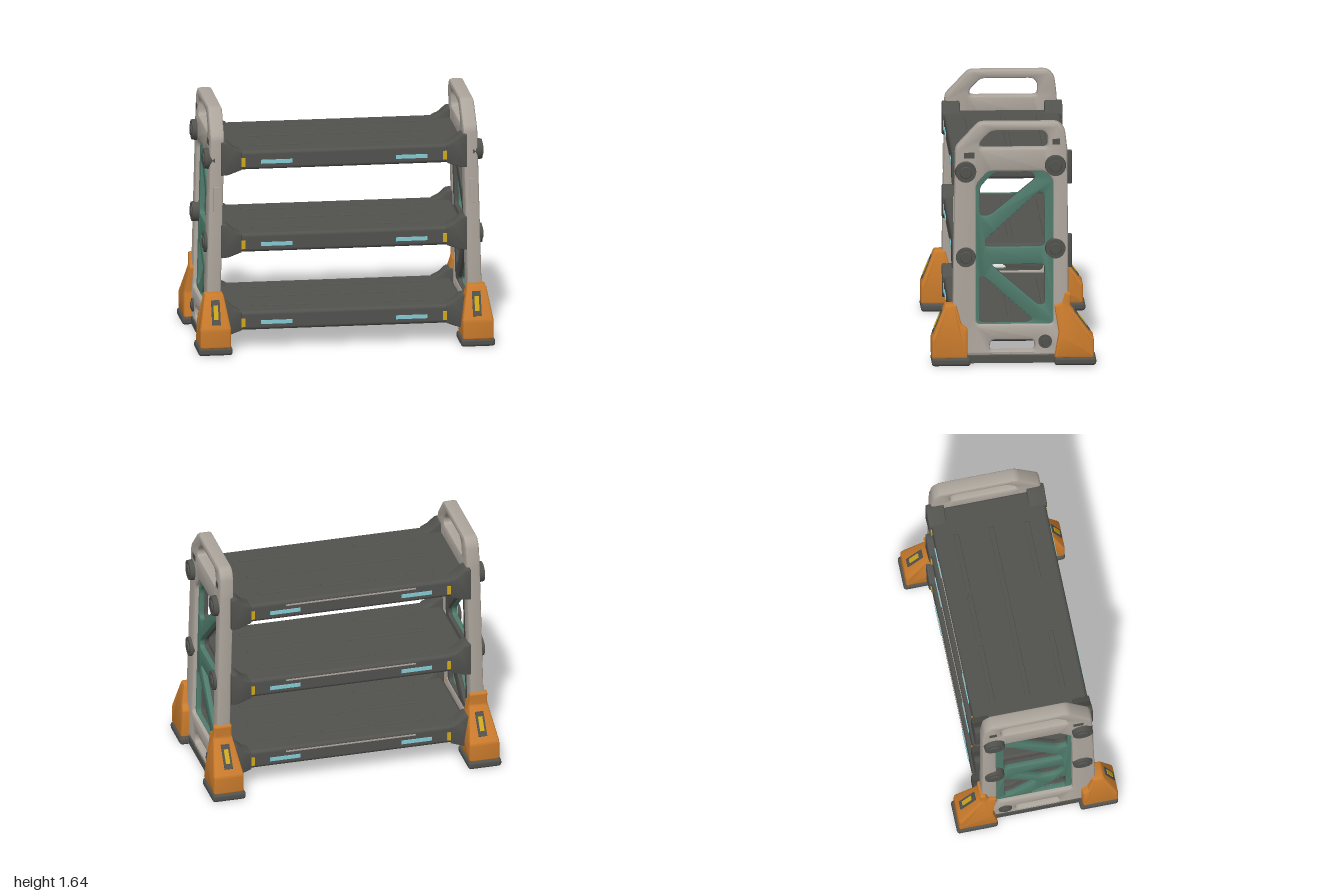
import * as THREE from 'three';
import { toCreasedNormals } from 'three/addons/utils/BufferGeometryUtils.js';
import { RoundedBoxGeometry } from 'three/addons/geometries/RoundedBoxGeometry.js';

const paint = (name, color) => {
  const m = new THREE.MeshStandardMaterial({ color });
  m.name = name;
  return m;
};

// Polygon with softened corners, drawn into a Shape or Path
function roundPoly(path, pts, r) {
  const v = pts.map(p => new THREE.Vector2(...p));
  v.forEach((p, i) => {
    const toward = q => p.clone().add(q.clone().sub(p).setLength(Math.min(r, p.distanceTo(q) * 0.4)));
    const a = toward(v[(i + v.length - 1) % v.length]);
    const b = toward(v[(i + 1) % v.length]);
    if (i) path.lineTo(a.x, a.y); else path.moveTo(a.x, a.y);
    path.quadraticCurveTo(p.x, p.y, b.x, b.y);
  });
  path.closePath();
  return path;
}

function extrude(pts, holes, depth, bevel, r) {
  const shape = roundPoly(new THREE.Shape(), pts, r);
  holes.forEach(h => shape.holes.push(roundPoly(new THREE.Path(), h, r)));
  const g = new THREE.ExtrudeGeometry(shape, {
    depth: depth - 2 * bevel, bevelEnabled: true, bevelSize: bevel, bevelThickness: bevel,
    bevelOffset: -bevel, bevelSegments: 2, curveSegments: 4,
  });
  return g.translate(0, 0, bevel);
}

// Profile in (z, y), extruded from x0 to x1
function sideExtrude(pts, holes, x0, x1, bevel, r) {
  return extrude(pts, holes, x1 - x0, bevel, r).rotateY(-Math.PI / 2).translate(x1, 0, 0);
}

function moveX(g, rule) {
  const p = g.attributes.position;
  for (let i = 0; i < p.count; i++) p.setX(i, rule(p.getX(i), p.getY(i)));
  return g;
}

// Posts spread slightly outwards towards the ground
const lean = g => moveX(g, (x, y) => x + (1.64 - y) * 0.025);
const smooth = g => toCreasedNormals(g, 0.6);

// Mirror across x = 0 and restore the face order
function mirrorX(geo) {
  const g = geo.index ? geo.toNonIndexed() : geo.clone();
  g.scale(-1, 1, 1);
  for (const a of Object.values(g.attributes)) {
    const n = a.itemSize;
    for (let i = 0; i < a.count; i += 3) {
      for (let k = 0; k < n; k++) {
        const s = (i + 1) * n + k, t = (i + 2) * n + k;
        [a.array[s], a.array[t]] = [a.array[t], a.array[s]];
      }
    }
  }
  return g;
}

export function createModel() {
  const root = new THREE.Group();
  root.name = 'shelfRack';
  const light = paint('warm grey', 0xaca59c), dark = paint('charcoal', 0x51514e);
  const orange = paint('orange', 0xca7b2c), teal = paint('teal', 0x4f7b6c);
  const cyan = paint('pale cyan', 0x84cad3), yellow = paint('yellow', 0xd0a81c);

  const add = (name, g, mat, parent) => {
    const m = new THREE.Mesh(g, mat);
    m.name = name;
    parent.add(m);
  };
  const box = (w, h, d, x, y, z) => new THREE.BoxGeometry(w, h, d).translate(x, y, z);
  const rbox = (w, h, d, r, x, y, z) => new RoundedBoxGeometry(w, h, d, 2, r).translate(x, y, z);

  // Shelves
  const grooves = [[-0.405, -0.23, 0.41], [0, -0.23, 0.33], [0.395, -0.23, 0.42],
    [0, 0.01, 1.22], [-0.4, 0.25, 0.42], [0.39, 0.25, 0.42]];
  const bracketProfile = [[0.69, 0.062], [0.74, 0.085], [0.79, 0.13], [0.83, 0.13],
    [0.83, -0.1], [0.78, -0.095], [0.69, -0.062]];
  for (const y of [0.195, 0.735, 1.305]) {
    const shelf = new THREE.Group();
    shelf.name = 'shelf';
    root.add(shelf);
    add('shelfBoard', rbox(1.64, 0.13, 0.78, 0.025, 0, y, 0.01), dark, shelf);
    for (const [x, z, w] of grooves) {
      for (const s of [1, -1]) add('shelfRib', rbox(w, 0.012, 0.035, 0.005, x, y + s * 0.065, z), dark, shelf);
    }
    for (const z of [0.402, -0.382]) {
      for (const s of [1, -1]) {
        add('cyanStrip', box(0.21, 0.026, 0.008, s * 0.455, y - 0.01, z), cyan, shelf);
        add('yellowMarker', box(0.028, 0.06, 0.008, s * 0.68, y - 0.01, z), yellow, shelf);
      }
    }
    add('rearEdgeStripe', box(0.9, 0.01, 0.006, 0, y + 0.035, -0.381), light, shelf);
    // Corner brackets
    for (const z of [0.29, -0.395]) {
      const g = smooth(extrude(bracketProfile, [], 0.12, 0.01, 0.01).translate(0, y, z));
      add('shelfBracket', g, dark, shelf);
      add('shelfBracket', mirrorX(g), dark, shelf);
    }
  }

  // Side frame outline with handle, main opening and lower slot
  const frameOutline = [[0.41, 0.06], [0.405, 0.6], [0.39, 1.47], [0.23, 1.64], [-0.3, 1.64],
    [-0.345, 1.59], [-0.36, 1.46], [-0.37, 0.06]];
  const handleHole = [[0.225, 1.465], [0.225, 1.51], [0.15, 1.585], [-0.2, 1.585], [-0.23, 1.55], [-0.23, 1.465]];
  const mainHole = [[0.25, 0.27], [0.25, 1.22], [0.17, 1.31], [-0.21, 1.31], [-0.265, 1.25], [-0.265, 0.27]];
  const slotHole = [[0.165, 0.09], [0.155, 0.165], [-0.14, 0.165], [-0.14, 0.09]];

  // Lattice openings: upper pair shared, lower set differs per side
  const latticeOutline = [[0.28, 0.24], [0.28, 1.25], [0.2, 1.34], [-0.24, 1.34], [-0.29, 1.27], [-0.29, 0.24]];
  const upperHoles = [
    [[0.225, 1], [0.16, 1], [-0.15, 1.25], [-0.13, 1.3], [0.13, 1.3], [0.225, 1.2]],
    [[0.19, 0.84], [0.15, 0.88], [-0.17, 1.17], [-0.21, 1.15], [-0.21, 0.79], [0.19, 0.79]],
  ];
  const lowerHoles = {
    1: [
      [[0.16, 0.675], [-0.21, 0.675], [-0.21, 0.4], [-0.17, 0.39]],
      [[0.23, 0.59], [0.195, 0.59], [-0.13, 0.3], [-0.1, 0.275], [0.23, 0.275]],
    ],
    [-1]: [
      [[0.2, 0.67], [0.2, 0.59], [0.14, 0.52], [0.05, 0.52], [-0.13, 0.67]],
      [[-0.21, 0.61], [0.02, 0.47], [-0.17, 0.31], [-0.21, 0.31]],
      [[0.21, 0.275], [0.21, 0.47], [0.13, 0.42], [-0.04, 0.275]],
    ],
  };

  // Feet profiles, tapering in width above the shoulder
  const feet = {
    frontFoot: [[0.31, 0.05], [0.31, 0.25], [0.35, 0.28], [0.385, 0.41], [0.46, 0.405], [0.55, 0.18], [0.55, 0.05]],
    backFoot: [[-0.27, 0.05], [-0.3, 0.22], [-0.27, 0.4], [-0.325, 0.42], [-0.345, 0.49],
      [-0.385, 0.48], [-0.375, 0.395], [-0.535, 0.18], [-0.535, 0.05]],
  };
  const taper = (x, y) => 0.885 + (x - 0.885) * (1 - 0.4 * Math.max(0, Math.min(1, (y - 0.18) / 0.23)));

  for (const side of [1, -1]) {
    const frame = new THREE.Group();
    frame.name = side > 0 ? 'leftSide' : 'rightSide';
    root.add(frame);
    const put = (name, g, mat) => add(name, side > 0 ? g : mirrorX(g), mat, frame);

    put('sideFrame', smooth(lean(sideExtrude(frameOutline, [handleHole, mainHole, slotHole], 0.8, 0.897, 0.018, 0.03))), light);
    const holes = [...upperHoles, ...lowerHoles[side]];
    put('lattice', smooth(lean(sideExtrude(latticeOutline, holes, 0.835, 0.87, 0.006, 0.035))), teal);
    put('latticeLining', smooth(lean(sideExtrude(latticeOutline, holes, 0.808, 0.835, 0.004, 0.035))), dark);

    // Bolts on the outer face
    for (const [z, y, r] of [[0.32, 1.31, 0.075], [-0.28, 1.35, 0.075], [0.32, 0.73, 0.072],
      [-0.28, 0.785, 0.072], [-0.21, 0.155, 0.05]]) {
      const out = r < 0.06 ? 0.945 : 0.938;
      const disc = (name, rad, x0, x1) => put(name, new THREE.CylinderGeometry(rad * 0.9, rad, x1 - x0, 24)
        .rotateZ(-Math.PI / 2).translate((x0 + x1) / 2, y, z), dark);
      disc('bolt', r, 0.87, out);
      disc('boltCap', r * 0.55, out, out + 0.008);
    }
    // Vents and front post inlay
    put('vent', box(0.008, 0.04, 0.07, 0.901, 1.42, 0.295), dark);
    put('vent', box(0.008, 0.04, 0.05, 0.899, 1.51, -0.285), dark);
    put('postInlay', rbox(0.04, 0.17, 0.008, 0.003, 0.863, 1.045, 0.399), light);

    // Feet with inset markers
    for (const [name, profile] of Object.entries(feet)) {
      put(name, smooth(moveX(sideExtrude(profile, [], 0.78, 0.99, 0.018, 0.012), taper)), orange);
      const front = name === 'frontFoot';
      const tilt = front ? -0.388 : 0.64;
      const place = (w, h, lift) => new THREE.BoxGeometry(w, h, 0.008)
        .translate(0, 0, front ? lift : -lift).rotateX(tilt).translate(0.88, 0.288, front ? 0.506 : -0.455);
      put('footPanel', place(0.058, 0.17, 0.003), dark);
      put('footMarker', place(0.03, 0.1, 0.007), yellow);
    }
    // Rubber pads and the rail joining them
    put('frontPad', rbox(0.23, 0.055, 0.26, 0.02, 0.885, 0.0275, 0.42), dark);
    put('backPad', rbox(0.23, 0.055, 0.28, 0.02, 0.885, 0.0275, -0.41), dark);
    put('bottomRail', box(0.11, 0.05, 0.62, 0.885, 0.035, 0), dark);
  }
  return root;
}
